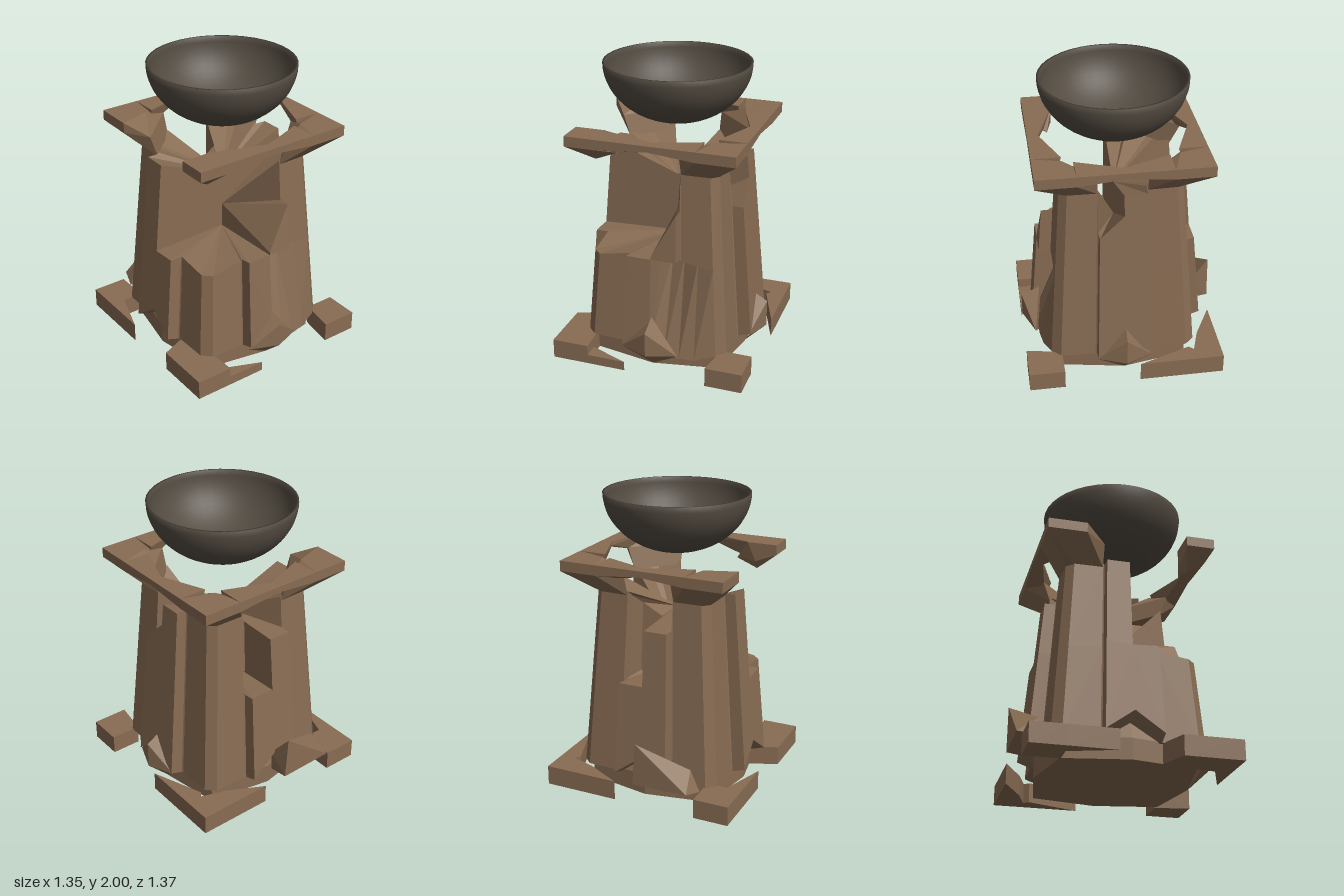
import * as THREE from 'three';
import { ConvexGeometry } from 'three/addons/geometries/ConvexGeometry.js';

const stone = new THREE.MeshStandardMaterial({ color: 0x886c53 });
stone.name = 'brown stone';
const iron = new THREE.MeshStandardMaterial({ color: 0x544c42 });
iron.name = 'dark iron';

// Sides lean inward with height
const taper = (y) => 1.02 - 0.147 * y;

// Quarter plan: centre, half pilaster, chamfered corner column, half pilaster
const PLAN = [[0, 0], [0.6, 0], [0.6, 0.19], [0.51, 0.19], [0.505, 0.2], [0.5, 0.44],
  [0.44, 0.5], [0.2, 0.505], [0.19, 0.51], [0.19, 0.6], [0, 0.6]];
const QUARTERS = { frontLeft: [1, 1], frontRight: [-1, 1], backLeft: [1, -1], backRight: [-1, -1] };

function add(group, name, geometry, material = stone) {
  const mesh = new THREE.Mesh(geometry, material);
  mesh.name = name;
  group.add(mesh);
  return mesh;
}

// Solid between two plans, with a height for every corner of both ends
function quarterSolid([sx, sz], bottomY, topY, bottomPlan = PLAN, topPlan = PLAN) {
  const ring = (plan, ys) => plan.map(([x, z], i) => [sx * x * taper(ys[i]), ys[i], sz * z * taper(ys[i])]);
  const lo = ring(bottomPlan, bottomY), hi = ring(topPlan, topY);
  const out = [];
  const tri = (a, b, c) => (sx * sz > 0 ? out.push(...a, ...b, ...c) : out.push(...a, ...c, ...b));
  const n = lo.length;
  for (let i = 0; i < n; i++) {
    const j = (i + 1) % n;
    tri(lo[i], hi[i], lo[j]);
    tri(lo[j], hi[i], hi[j]);
    if (i > 0 && j > 0) {
      tri(hi[0], hi[j], hi[i]);
      tri(lo[0], lo[i], lo[j]);
    }
  }
  const g = new THREE.BufferGeometry();
  g.setAttribute('position', new THREE.Float32BufferAttribute(out, 3));
  g.computeVertexNormals();
  return g;
}

const hull = (points, sx = 1, sz = 1) =>
  new ConvexGeometry(points.map(([x, y, z]) => new THREE.Vector3(sx * x, y, sz * z)));

const prism = (plan, height) => hull(plan.flatMap(([x, z]) => [[x, 0, z], [x, height, z]]));

export function createModel() {
  const model = new THREE.Group();
  model.name = 'brokenBrazier';
  const pedestal = new THREE.Group();
  pedestal.name = 'pedestal';
  pedestal.position.z = 0.0125;
  model.add(pedestal);

  // Core under the broken shaft
  add(pedestal, 'baseCore', hull([0, 1, 2, 3, 4, 5, 6, 7].flatMap((i) => {
    const a = (i * Math.PI) / 4, r = i % 2 ? 0.62 : 0.52;
    return [[r * Math.cos(a), 0, r * Math.sin(a)], [r * Math.cos(a), 0.14, r * Math.sin(a)],
      [0.85 * r * Math.cos(a), 0.3, 0.85 * r * Math.sin(a)]];
  })));

  // Lower shaft, with one face split away
  const lowY = [0.1, 0.3, 0.16, 0.13, 0.13, 0.13, 0.13, 0.13, 0.13, 0.16, 0.3];
  const midY = [0.78, 0.76, 0.77, 0.77, 0.77, 0.74, 0.74, 0.78, 0.79, 0.8, 0.8];
  const splitLowY = lowY.slice(0, 7).concat([0.09, 0.1, 0.12, 0.2]);
  const splitLow = PLAN.slice(0, 7).concat([[0.3, 0.54], [0.2, 0.56], [0.1, 0.57], [0, 0.57]]);
  const splitTop = PLAN.slice(0, 7).concat([[0.32, 0.47], [0.2, 0.41], [0.1, 0.37], [0, 0.36]]);
  for (const [name, q] of Object.entries(QUARTERS)) {
    add(pedestal, name + 'LowerShaft', name === 'frontLeft'
      ? quarterSolid(q, splitLowY, midY, splitLow, splitTop)
      : quarterSolid(q, lowY, midY));
  }

  // Upper shaft; one quarter has fallen and another lost its back pilaster
  const upperTops = {
    frontLeft: [0.95, 1.24, 1.09, 1.09, 1.4, 1.4, 1.4, 1.4, 1.12, 1.12, 0.82],
    backLeft: [1.2, 1.39, 1.39, 1.39, 1.4, 1.4, 1.4, 1.4, 1.35, 1.28, 1.2],
    backRight: [1.2, 1.39, 1.39, 1.39, 1.4, 1.4, 1.4, 1.4, 1.18, 1.18, 1.18],
  };
  const hollow = PLAN.slice(0, 8).concat([[0.19, 0.42], [0.16, 0.3], [0, 0.28]]);
  for (const [name, tops] of Object.entries(upperTops)) {
    const plan = name === 'backLeft' ? hollow : PLAN;
    add(pedestal, name + 'UpperShaft', quarterSolid(QUARTERS[name], midY, tops, plan, plan));
  }

  // Square top frame: flared corners and thin arms
  const E = 0.573;
  for (const [name, [sx, sz]] of Object.entries(QUARTERS)) {
    const loose = name === 'frontRight';
    const e = loose ? 0.38 : 0.31;
    const under = loose
      ? [[0.42, 1.41, 0.42], [0.27, 1.47, 0.42], [0.42, 1.47, 0.38]]
      : [[0.405, 1.37, 0.36], [0.36, 1.37, 0.405], [0.41, 1.37, 0.165], [0.165, 1.37, 0.41],
        [0.46, 1.52, 0.165], [0.165, 1.52, 0.46], [0.36, 1.42, 0.36]];
    add(pedestal, name + 'Capital', hull([
      [E, 1.6, E], [E, 1.53, E], [e, 1.6, E], [e, 1.53, E], [E, 1.6, e], [E, 1.53, e],
      [0.36, 1.6, 0.38], ...under,
    ], sx, sz));
    const arm = [[e, 1.6, E], [e, 1.53, E], [e, 1.6, 0.38], [e, 1.47, 0.42],
      [0, 1.6, E], [0, 1.56, E], [0, 1.6, 0.5], [0, 1.57, 0.5]];
    add(pedestal, name + 'FrameArm', hull(arm, sx, sz));
    if (sx > 0) add(pedestal, name + 'SideArm', hull(arm.map(([x, y, z]) => [z, y, x]), sx, sz));
  }

  // Broken foot slab
  const H = 0.135, F = 0.673;
  const slabs = [
    ['frontRightFoot', [[-F, 0.28], [-0.45, 0.19], [-0.42, 0.58], [-0.42, F], [-F, F]], H],
    ['frontRightFootSliver', [[-0.45, F], [-0.15, F], [-0.37, 0.59], [-0.45, 0.55]], 0.065],
    ['frontLeftFoot', [[0.42, F], [F, F], [F, 0.43], [0.46, 0.43]], H],
    ['backLeftFoot', [[0.15, -F], [F, -F], [F, -0.45], [0.4, -0.54]], H],
    ['backLeftFootSliver', [[F, -0.6], [F, -0.09], [0.54, -0.45]], H],
    ['backRightFoot', [[-F, -F], [-0.43, -F], [-0.43, -0.43], [-F, -0.43]], H],
    ['backRightFootSliver', [[-F, -0.43], [-0.57, -0.43], [-F, -0.12]], H],
  ];
  for (const [name, plan, h] of slabs) add(pedestal, name, prism(plan, h));

  // Rubble leaning against the shaft
  add(pedestal, 'frontRubble', hull([[-0.2, 0.14, 0.59], [0.2, 0.13, 0.59], [0, 0.31, 0.67],
    [0, 0.14, 0.67], [0, 0, 0.52], [0, 0.37, 0.54]]));
  add(pedestal, 'sideRubble', hull([[0.66, 0.33, 0], [0.66, 0.14, 0], [0.58, 0.14, 0.2],
    [0.58, 0.14, -0.18], [0.52, 0, 0], [0.54, 0.4, 0]]));
  add(pedestal, 'backRubble', hull([[-0.02, 0.46, -0.7], [-0.39, 0.17, -0.7], [0, 0.16, -0.7],
    [-0.43, 0.14, -0.57], [0, 0.14, -0.56], [0, 0.28, -0.55], [-0.36, 0.28, -0.56]]));

  // Open fire bowl, outside then inside
  const profile = [new THREE.Vector2(0, 1.6)];
  const arc = (r, depth, t) => new THREE.Vector2(r * Math.sin(t), 2 - depth * Math.cos(t));
  for (let i = 2; i <= 16; i++) profile.push(arc(0.495, 0.403, (i / 16) * Math.PI / 2));
  for (let i = 16; i >= 0; i--) profile.push(arc(0.478, 0.385, (i / 16) * Math.PI / 2));
  add(model, 'fireBowl', new THREE.LatheGeometry(profile, 40), iron).position.z = 0.0125;

  return model;
}
